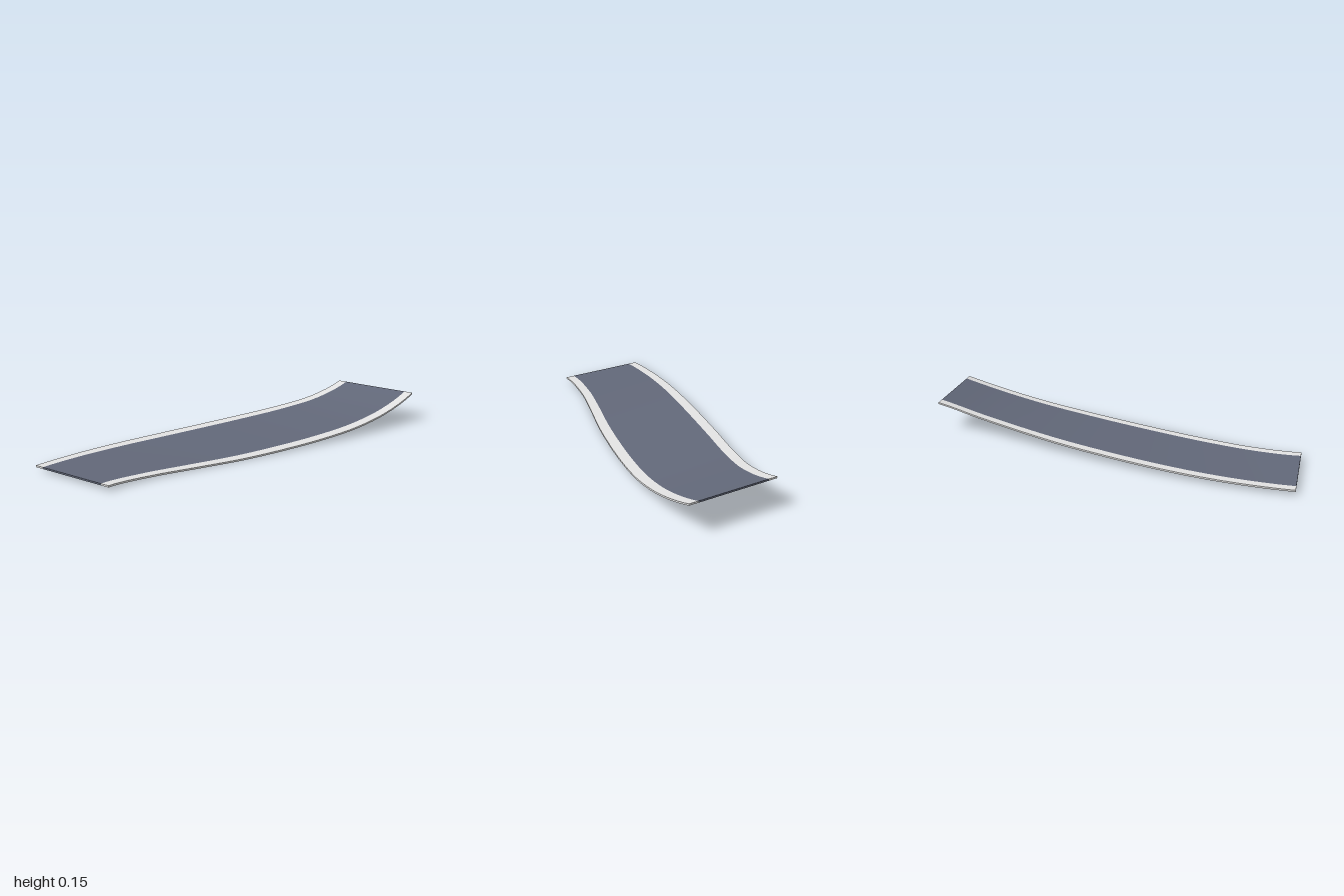
import * as THREE from 'three';

const STEPS = 48;
const THICK = 0.009;

// Edge lines of the deck every 0.25 from z = -1.25 to 1.25; the first and last
// values only set the direction at the two ends
const leftX = [-0.042, 0, -0.042, -0.125, -0.217, -0.3, -0.376, -0.44, -0.483, -0.5, -0.483];
const leftY = [0.215, 0.15, 0.098, 0.071, 0.054, 0.043, 0.035, 0.03, 0.027, 0.025, 0.025];
const rightY = [0.235, 0.15, 0.088, 0.048, 0.027, 0.015, 0.009, 0.011, 0.017, 0.025, 0.03];
const rightX = leftX.map((x) => -x).reverse();

function edgeCurve(xs, ys) {
  const pts = xs.map((x, i) => new THREE.Vector3(x, ys[i], -1.25 + i * 0.25));
  return new THREE.CatmullRomCurve3(pts, false, 'catmullrom', 0.5);
}

const edgeA = edgeCurve(leftX, leftY);
const edgeB = edgeCurve(rightX, rightY);

// Point on the deck: t along the road, u across it, dropped by d
function deckPoint(t, u, d) {
  const s = 0.1 + 0.8 * t;
  const p = edgeA.getPoint(s).lerp(edgeB.getPoint(s), u);
  p.y -= d;
  return p;
}

// Smooth ribbon between two lines running along the road
function ribbon(name, material, [u0, d0], [u1, d1]) {
  const pos = [];
  const idx = [];
  for (let i = 0; i <= STEPS; i++) {
    const t = i / STEPS;
    pos.push(...deckPoint(t, u0, d0).toArray(), ...deckPoint(t, u1, d1).toArray());
    if (i < STEPS) {
      const k = i * 2;
      idx.push(k, k + 2, k + 1, k + 1, k + 2, k + 3);
    }
  }
  return makeMesh(name, material, pos, idx);
}

// Flat cap closing the slab at its back (t = 0) or front (t = 1), from u0 to u1
function cap(name, material, t, u0, u1) {
  const pos = [[u0, 0], [u1, 0], [u0, THICK], [u1, THICK]]
    .flatMap(([u, d]) => deckPoint(t, u, d).toArray());
  return makeMesh(name, material, pos, t === 0 ? [0, 1, 2, 1, 3, 2] : [0, 2, 1, 1, 2, 3]);
}

function makeMesh(name, material, pos, idx) {
  const g = new THREE.BufferGeometry();
  g.setAttribute('position', new THREE.Float32BufferAttribute(pos, 3));
  g.setIndex(idx);
  g.computeVertexNormals();
  const mesh = new THREE.Mesh(g, material);
  mesh.name = name;
  return mesh;
}

function material(name, color) {
  const m = new THREE.MeshStandardMaterial({ color });
  m.name = name;
  return m;
}

export function createModel() {
  const asphalt = material('asphalt', 0x626879);
  const kerb = material('kerb', 0xe2e2e2);
  const base = material('base', 0xaea8b2);

  const group = new THREE.Group();
  group.name = 'curvedRoadRamp';

  // Carriageway between two pale borders, each closed at both ends
  const strips = [
    ['rightBorder', kerb, 0, 0.1],
    ['roadSurface', asphalt, 0.1, 0.9],
    ['leftBorder', kerb, 0.9, 1],
  ];
  for (const [name, mat, u0, u1] of strips) {
    group.add(
      ribbon(name, mat, [u0, 0], [u1, 0]),
      cap(`${name}BackEnd`, mat, 0, u0, u1),
      cap(`${name}FrontEnd`, mat, 1, u0, u1),
    );
  }

  // Slab sides and underside
  group.add(
    ribbon('leftSide', kerb, [1, 0], [1, THICK]),
    ribbon('underside', base, [1, THICK], [0, THICK]),
    ribbon('rightSide', kerb, [0, THICK], [0, 0]),
  );
  return group;
}
